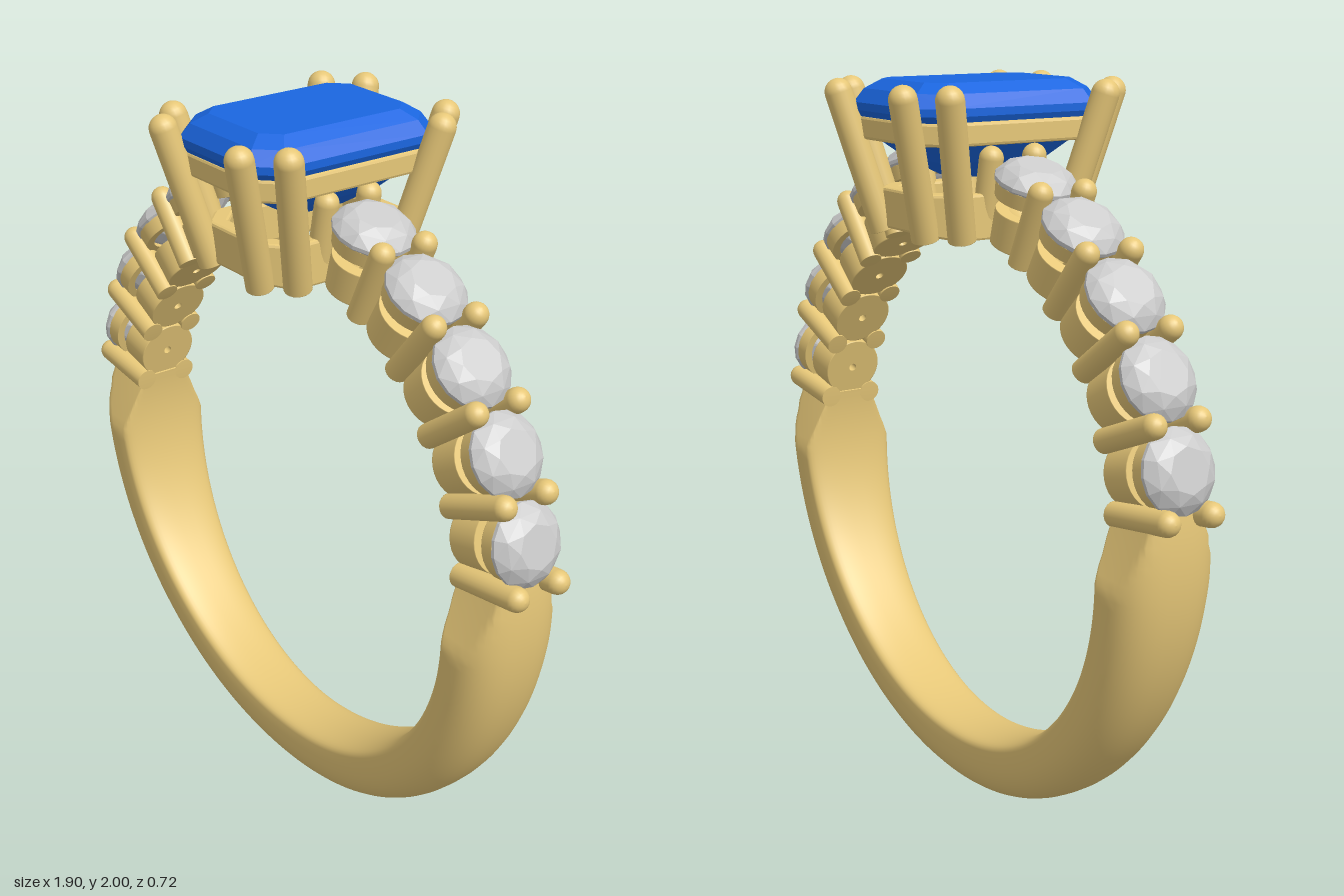
import * as THREE from 'three';
import { ConvexGeometry } from 'three/addons/geometries/ConvexGeometry.js';

const gold = new THREE.MeshStandardMaterial({ color: 0xe6c778, side: THREE.DoubleSide });
const goldFlat = new THREE.MeshStandardMaterial({ color: 0xe6c778, flatShading: true });
const blue = new THREE.MeshStandardMaterial({ color: 0x1a66e0, flatShading: true });
const clear = new THREE.MeshStandardMaterial({ color: 0xcccccc, flatShading: true });

const CY = 0.9, RI = 0.72, RO = 0.895; // ring centre height, inner and outer radius
const rad = THREE.MathUtils.degToRad;
const V = (x, y, z) => new THREE.Vector3(x, y, z);

function add(parent, name, geometry, material) {
  const mesh = new THREE.Mesh(geometry, material);
  mesh.name = name;
  parent.add(mesh);
  return mesh;
}

// Round wire with a flat foot at a and a domed tip at b
function prong(parent, name, a, b, r) {
  const len = a.distanceTo(b);
  const pts = [new THREE.Vector2(0, 0), new THREE.Vector2(r, 0), new THREE.Vector2(r, 0.001)];
  for (let i = 0; i <= 6; i++) {
    const t = (i / 6) * Math.PI / 2;
    pts.push(new THREE.Vector2(r * Math.cos(t), len - r + r * Math.sin(t)));
  }
  const mesh = add(parent, name, new THREE.LatheGeometry(pts, 20), gold);
  mesh.position.copy(a);
  mesh.quaternion.setFromUnitVectors(V(0, 1, 0), b.clone().sub(a).normalize());
}

// Tapering band: rounded section swept under the finger, sides pared away at the shoulders
function shankGeometry() {
  const N = 120, M = 40, pos = [], idx = [];
  const a0 = rad(9), a1 = rad(-189);
  for (let i = 0; i <= N; i++) {
    const a = a0 + (a1 - a0) * i / N;
    const s = Math.sin(a);
    const up = THREE.MathUtils.clamp((s + 1) / 0.92, 0, 1);
    const w = 0.095 + 0.052 * Math.pow(up, 0.8);
    const pare = THREE.MathUtils.clamp((s + 0.09) / 0.24, 0, 1);
    const limit = THREE.MathUtils.lerp(w, 0.07, pare);
    for (let j = 0; j < M; j++) {
      const t = (j / M) * Math.PI * 2, c = Math.cos(t), q = Math.sin(t);
      // domed outside, nearly flat inside
      const p = c > 0 ? 0.85 : 0.35;
      const r = c > 0 ? RI + 0.06 + (RO - RI - 0.06) * Math.pow(c, p)
        : RI + 0.06 - 0.06 * Math.pow(-c, p);
      let z = w * Math.sign(q) * Math.pow(Math.abs(q), 0.8);
      z = THREE.MathUtils.clamp(z, -limit, limit);
      pos.push(r * Math.cos(a), CY + r * s, z);
    }
  }
  for (let i = 0; i < N; i++) for (let j = 0; j < M; j++) {
    const k = (j + 1) % M, A = i * M + j, B = i * M + k, C = A + M, D = B + M;
    idx.push(A, C, B, B, C, D);
  }
  // end caps with their own corners
  for (const row of [0, N]) {
    const base = pos.length / 3;
    for (let j = 0; j < M; j++) pos.push(...pos.slice((row * M + j) * 3, (row * M + j) * 3 + 3));
    for (let j = 1; j < M - 1; j++) {
      if (row === 0) idx.push(base, base + j, base + j + 1);
      else idx.push(base, base + j + 1, base + j);
    }
  }
  const g = new THREE.BufferGeometry();
  g.setAttribute('position', new THREE.Float32BufferAttribute(pos, 3));
  g.setIndex(idx);
  g.computeVertexNormals();
  return g;
}

// Rectangle with cut corners, as [x, z] pairs
function octagon(hx, hz, cut) {
  return [[hx, hz - cut], [hx - cut, hz], [cut - hx, hz], [-hx, hz - cut],
    [-hx, cut - hz], [cut - hx, -hz], [hx - cut, -hz], [hx, cut - hz]];
}

// Upright octagonal collar from y0 to y1
function collar(hx, hz, cut, wall, y0, y1) {
  const vec = (o) => o.map(([x, z]) => new THREE.Vector2(x, z));
  const shape = new THREE.Shape(vec(octagon(hx, hz, cut)));
  shape.holes.push(new THREE.Path(vec(octagon(hx - wall, hz - wall, cut - wall * 0.58))));
  const b = 0.008;
  const g = new THREE.ExtrudeGeometry(shape, {
    depth: y1 - y0 - 2 * b, bevelThickness: b, bevelSize: b, bevelOffset: -b, bevelSegments: 2,
  });
  return g.rotateX(-Math.PI / 2).translate(0, y0 + b, 0);
}

// Round brilliant, girdle at y = 0
function brilliantGeometry() {
  const pts = [V(0, -0.1, 0)];
  const ring = (n, r, y, off) => {
    for (let i = 0; i < n; i++) {
      const t = ((i + off) / n) * Math.PI * 2;
      pts.push(V(r * Math.cos(t), y, r * Math.sin(t)));
    }
  };
  ring(8, 0.058, 0.045, 0);
  ring(8, 0.088, 0.03, 0.5);
  ring(16, 0.108, 0.005, 0);
  ring(16, 0.108, -0.005, 0);
  ring(8, 0.06, -0.055, 0.5);
  return new ConvexGeometry(pts);
}

// Closed turned ring from [radius, height] corners, each edge kept crisp
function turned(corners) {
  const pts = [];
  corners.forEach(([r, y], i) => {
    const [r2, y2] = corners[(i + 1) % corners.length];
    for (const t of [0, 0.03, 0.97]) {
      pts.push(new THREE.Vector2(r + (r2 - r) * t, y + (y2 - y) * t));
    }
  });
  pts.push(pts[0].clone());
  return new THREE.LatheGeometry(pts, 32);
}

export function createModel() {
  const model = new THREE.Group();
  model.name = 'ring';
  add(model, 'shank', shankGeometry(), gold);

  // Shoulder stones in their cups, and the prong pairs between them
  const stoneGeo = brilliantGeometry();
  const cupGeo = turned([[0.012, -0.178], [0.088, -0.178], [0.09, -0.085], [0.055, -0.085], [0.012, -0.12]]);
  const seatGeo = turned([[0.075, -0.05], [0.098, -0.05], [0.102, -0.01], [0.09, -0.01]]);
  const first = 8, step = 14.25;
  for (const side of [1, -1]) {
    const shoulder = new THREE.Group();
    shoulder.name = side > 0 ? 'leftShoulder' : 'rightShoulder';
    model.add(shoulder);
    for (let i = 0; i < 5; i++) {
      const a = rad(first + step * (i + 0.5));
      const setting = new THREE.Group();
      setting.name = 'sideSetting';
      setting.position.set(side * 0.9 * Math.cos(a), CY + 0.9 * Math.sin(a), 0);
      setting.rotation.z = side * (a - Math.PI / 2);
      add(setting, 'sideStone', stoneGeo, clear);
      add(setting, 'cup', cupGeo, gold);
      add(setting, 'seatRing', seatGeo, gold);
      shoulder.add(setting);
    }
    for (let i = 0; i <= 5; i++) {
      const a = rad(first + step * i), c = side * Math.cos(a), s = Math.sin(a);
      for (const z of [-0.067, 0.067]) {
        prong(shoulder, 'sideProng', V(0.72 * c, CY + 0.72 * s, z), V(0.957 * c, CY + 0.957 * s, z), 0.032);
      }
    }
  }

  // Centre basket: lower collar curved to the finger, upper collar, eight claws
  const basket = new THREE.Group();
  basket.name = 'basket';
  model.add(basket);
  const lower = collar(0.175, 0.235, 0.07, 0.05, 1.6, 1.72);
  const p = lower.attributes.position;
  for (let i = 0; i < p.count; i++) {
    if (p.getY(i) < 1.65) p.setY(i, p.getY(i) - 1.6 + CY + Math.sqrt(RI * RI - p.getX(i) ** 2));
  }
  add(basket, 'lowerCollar', lower, goldFlat);
  add(basket, 'upperCollar', collar(0.21, 0.28, 0.065, 0.045, 1.845, 1.905), goldFlat);
  for (const sx of [1, -1]) for (const sz of [1, -1]) {
    prong(basket, 'claw', V(sx * 0.105, 1.605, sz * 0.225), V(sx * 0.169, 2, sz * 0.332), 0.037);
    prong(basket, 'claw', V(sx * 0.17, 1.605, sz * 0.155), V(sx * 0.254, 2, sz * 0.246), 0.037);
  }

  // Step-cut centre stone: half width, half depth, corner cut, height
  const layers = [[0.15, 0.225, 0.045, 2], [0.188, 0.264, 0.055, 1.975], [0.21, 0.287, 0.062, 1.94],
    [0.21, 0.287, 0.062, 1.92], [0.17, 0.24, 0.05, 1.85], [0.12, 0.17, 0.036, 1.795], [0.06, 0.09, 0.02, 1.75]];
  const pts = layers.flatMap(([hx, hz, cut, y]) => octagon(hx, hz, cut).map(([x, z]) => V(x, y, z)));
  add(model, 'centreStone', new ConvexGeometry(pts), blue);
  return model;
}
